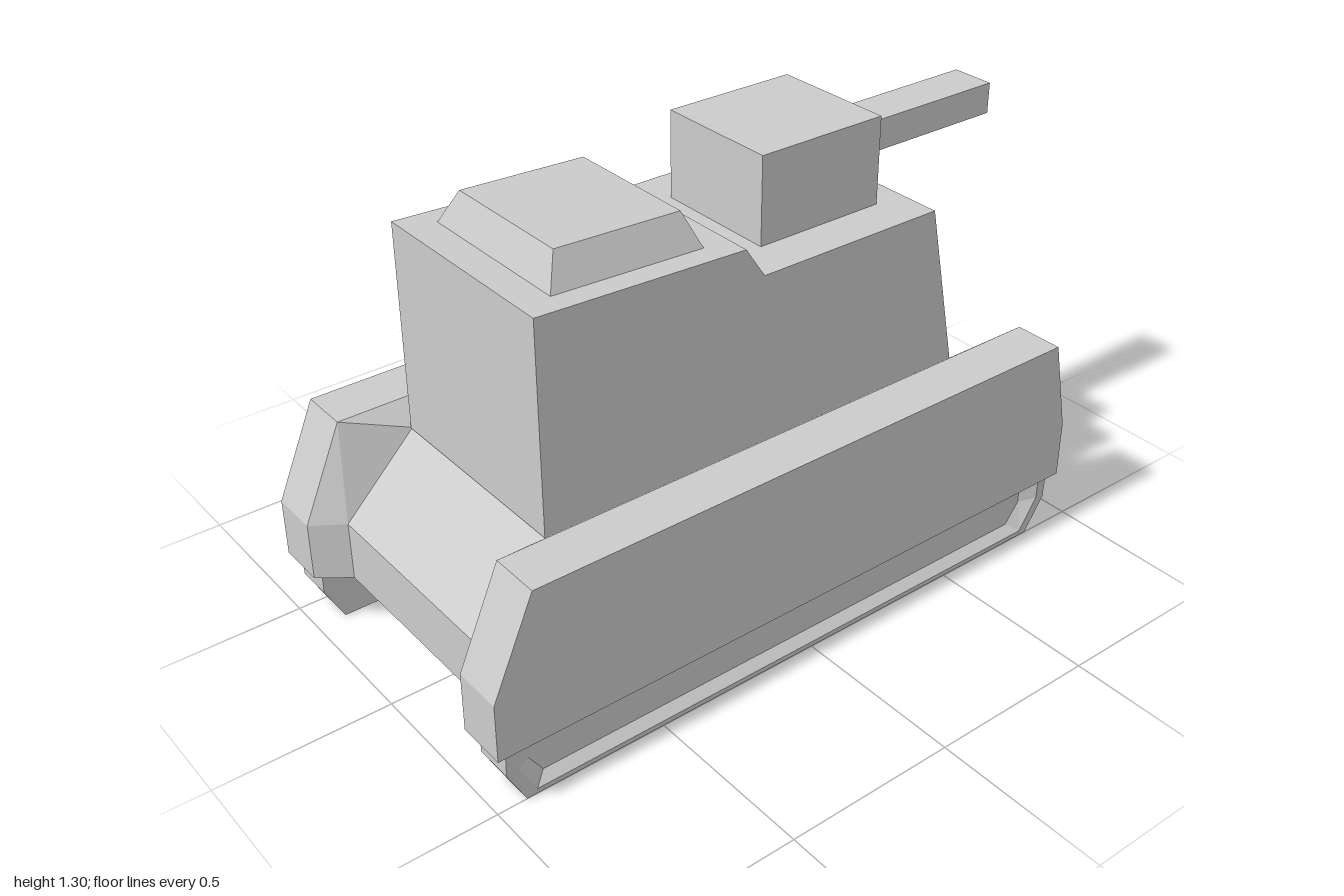
import * as THREE from 'three';

const material = new THREE.MeshStandardMaterial({ color: 0xcccccc, flatShading: true });

// Skin a row of matching cross-sections (corners counter-clockwise seen from the last one), capped at both ends.
function loft(name, sections) {
  const pos = [];
  const tri = (a, b, c) => pos.push(...a, ...b, ...c);
  const first = sections[0], last = sections[sections.length - 1], n = first.length;
  for (let s = 0; s < sections.length - 1; s++) {
    const a = sections[s], b = sections[s + 1];
    for (let i = 0; i < n; i++) {
      const j = (i + 1) % n;
      tri(a[i], a[j], b[j]);
      tri(a[i], b[j], b[i]);
    }
  }
  for (let i = 1; i < n - 1; i++) {
    tri(first[0], first[i + 1], first[i]);
    tri(last[0], last[i], last[i + 1]);
  }
  const geometry = new THREE.BufferGeometry();
  geometry.setAttribute('position', new THREE.Float32BufferAttribute(pos, 3));
  geometry.computeVertexNormals();
  const mesh = new THREE.Mesh(geometry, material);
  mesh.name = name;
  return mesh;
}

// Side profile of [z, y] corners placed at x
const at = (x, profile) => profile.map(([z, y]) => [x, y, z]);

function box(name, w, h, d, x, y, z) {
  const mesh = new THREE.Mesh(new THREE.BoxGeometry(w, h, d), material);
  mesh.position.set(x, y, z);
  mesh.name = name;
  return mesh;
}

// Track with tapered sides and a recessed outer face
function track(name, side) {
  const outer = [[0.97, 0.18], [0.97, 0.105], [0.915, 0], [-0.835, 0], [-0.895, 0.105], [-0.895, 0.18]];
  const rim = [[0.935, 0.18], [0.935, 0.11], [0.885, 0.015], [-0.81, 0.015], [-0.865, 0.11], [-0.865, 0.18]];
  const recess = [[0.89, 0.18], [0.89, 0.1], [0.85, 0.04], [-0.775, 0.04], [-0.82, 0.1], [-0.82, 0.18]];
  const taper = (x, lean, profile) =>
    profile.map(([z, y]) => [side * (x + lean * (0.18 - y)), y, z]);
  const sections = [
    taper(0.39, 0.03, outer), taper(0.505, -0.03, outer),
    taper(0.505, -0.03, rim), taper(0.475, 0, recess),
  ];
  return loft(name, side > 0 ? sections : sections.reverse());
}

export function createModel() {
  const model = new THREE.Group();
  model.name = 'tank';

  // Hull: tall fenders at the sides, lower sloped middle
  const fender = [[1, 0.18], [-0.925, 0.18], [-0.925, 0.35], [-0.865, 0.625], [0.88, 0.625], [1, 0.35]];
  const middle = [[0.915, 0.18], [-0.885, 0.18], [-0.885, 0.355], [-0.66, 0.57], [0.7, 0.57], [0.915, 0.355]];
  model.add(loft('hull', [
    at(-0.52, fender), at(-0.375, fender), at(-0.31, middle),
    at(0.31, middle), at(0.375, fender), at(0.52, fender),
  ]));

  model.add(track('leftTrack', 1), track('rightTrack', -1));

  // Cabin with a stepped roof and sloped rear
  const cabin = [[0.03, 1.055], [0.09, 1.145], [0.705, 1.17], [0.705, 0.57], [-0.658, 0.57], [-0.555, 1.055]];
  model.add(loft('cabin', [at(-0.31, cabin), at(0.31, cabin)]));

  // Plate on the sloped rear
  const plate = [[-0.55, 0.975], [-0.62, 0.655], [-0.715, 0.665], [-0.625, 0.98]];
  model.add(loft('rearPlate', [at(-0.22, plate), at(0.22, plate)]));

  // Bevelled roof hatch
  const rect = (x, z0, y0, z1, y1) => [[-x, y0, z0], [-x, y1, z1], [x, y1, z1], [x, y0, z0]];
  model.add(loft('roofHatch', [
    rect(0.245, 0.168, 1.146, 0.615, 1.164),
    rect(0.2, 0.205, 1.242, 0.572, 1.256),
  ]));

  // Gun
  model.add(box('gunHousing', 0.37, 0.25, 0.4, 0, 1.18, -0.263));
  model.add(box('gunBarrel', 0.13, 0.09, 0.54, 0, 1.18, -0.73));

  return model;
}
